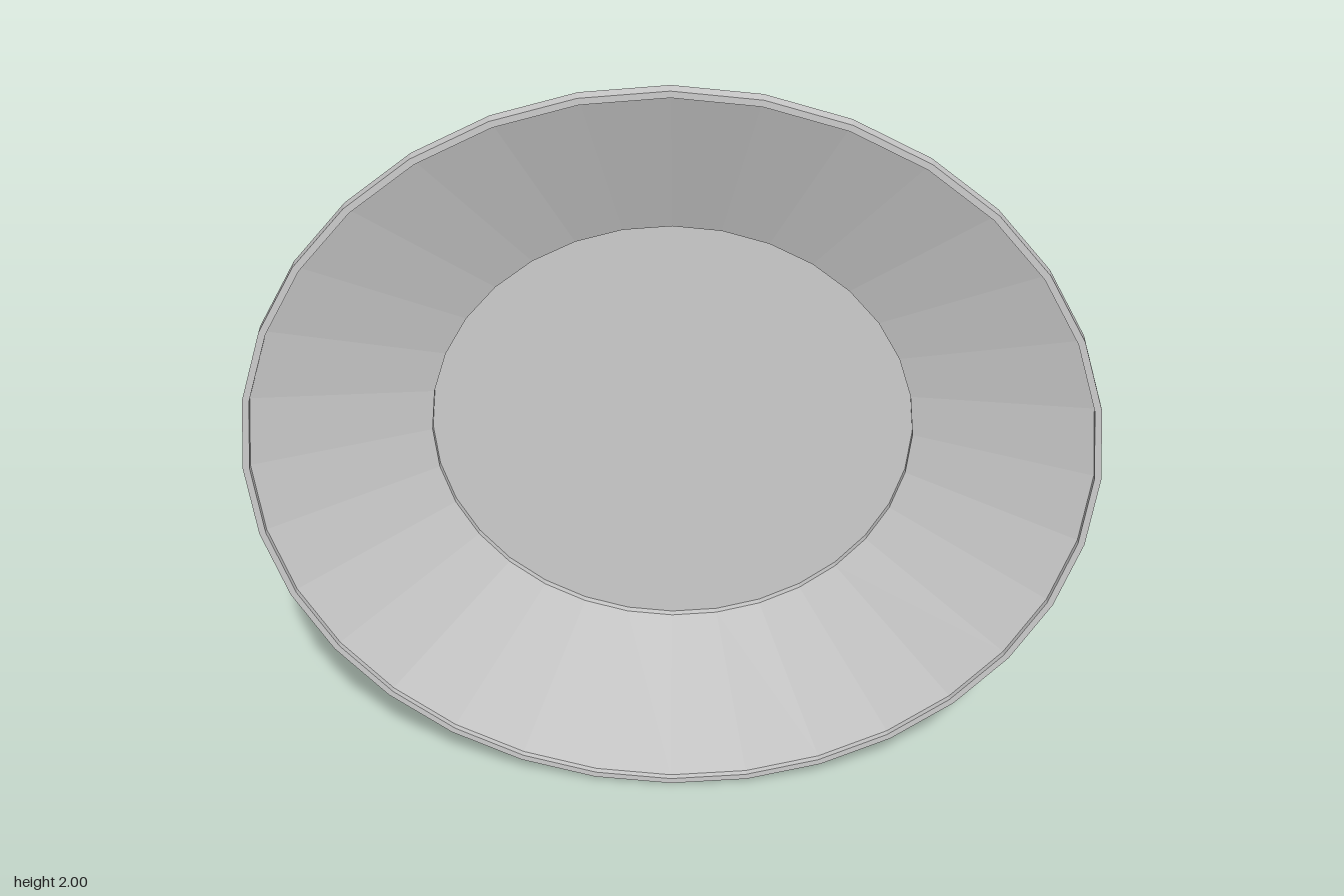
import * as THREE from 'three';

export function createModel() {
  const group = new THREE.Group();
  const material = new THREE.MeshStandardMaterial({ color: 0xcccccc, flatShading: true });

  // Plate section as [radius, height]: foot, flared underside, rim, inner slope, floor
  const profile = [
    [0, -0.098], [0.583, -0.098], [0.583, -0.082], // foot
    [1, 0.071], [1, 0.098],                        // flared underside and rim
    [0.984, 0.098], [0.984, 0.084],                // lip
    [0.572, -0.067], [0.572, -0.082], [0, -0.082], // inner slope and recessed floor
  ].map(([r, h]) => new THREE.Vector2(r, h));

  const plate = new THREE.Mesh(new THREE.LatheGeometry(profile, 32), material);
  plate.name = 'plate';
  plate.rotation.x = Math.PI / 2; // stand on edge, hollow side to the front
  plate.position.y = 1;
  group.add(plate);
  return group;
}
